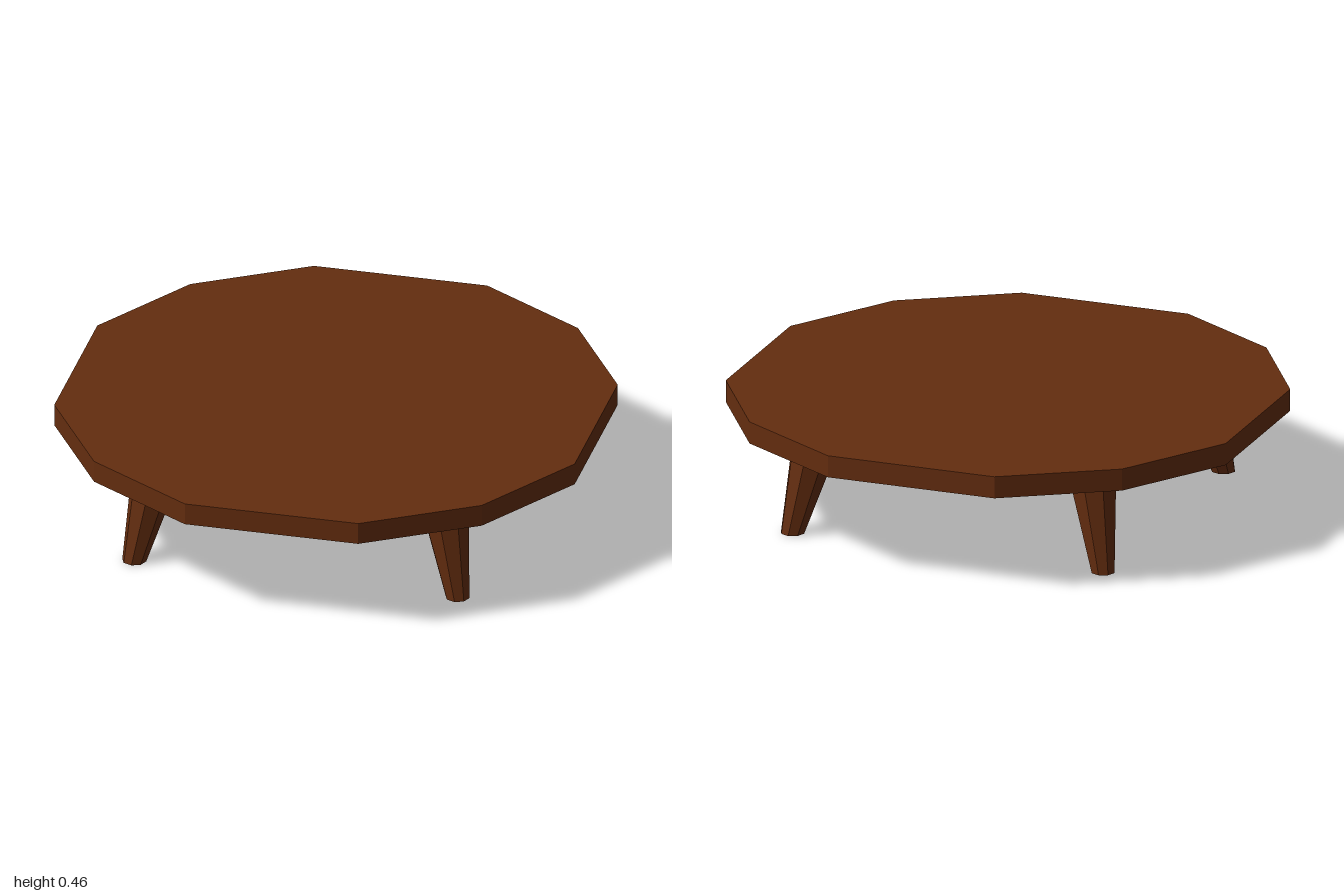
import * as THREE from 'three';

export function createModel() {
  const group = new THREE.Group();
  group.name = 'roundTable';
  const wood = new THREE.MeshStandardMaterial({ color: 0x642d0f });
  wood.name = 'brownWood';

  const legHeight = 0.375;
  const topThickness = 0.085;

  // Twelve-sided table top, built from one quarter's corners
  const quarter = [[1, 0.333], [0.745, 0.745], [0.333, 1]];
  const corners = [];
  for (let q = 0; q < 4; q++) {
    for (const [x, y] of quarter) {
      corners.push(new THREE.Vector2(x, y).rotateAround(new THREE.Vector2(), q * Math.PI / 2));
    }
  }
  const topGeometry = new THREE.ExtrudeGeometry(new THREE.Shape(corners), {
    depth: topThickness, bevelEnabled: false,
  });
  topGeometry.rotateX(-Math.PI / 2);
  topGeometry.translate(0, legHeight, 0);
  const top = new THREE.Mesh(topGeometry, wood);
  top.name = 'tableTop';
  group.add(top);

  // Tapered legs, sheared so the feet splay outward
  const topCentre = 0.547, footCentre = 0.621;
  function addLeg(name, sx, sz) {
    let geometry = new THREE.CylinderGeometry(0.098, 0.046, legHeight, 8);
    geometry.translate(0, legHeight / 2, 0);
    const p = geometry.attributes.position;
    for (let i = 0; i < p.count; i++) {
      const c = THREE.MathUtils.lerp(footCentre, topCentre, p.getY(i) / legHeight);
      p.setX(i, p.getX(i) + sx * c);
      p.setZ(i, p.getZ(i) + sz * c);
    }
    geometry = geometry.toNonIndexed();
    geometry.computeVertexNormals();
    const leg = new THREE.Mesh(geometry, wood);
    leg.name = name;
    group.add(leg);
  }
  addLeg('frontLeftLeg', 1, 1);
  addLeg('frontRightLeg', -1, 1);
  addLeg('backLeftLeg', 1, -1);
  addLeg('backRightLeg', -1, -1);

  return group;
}
